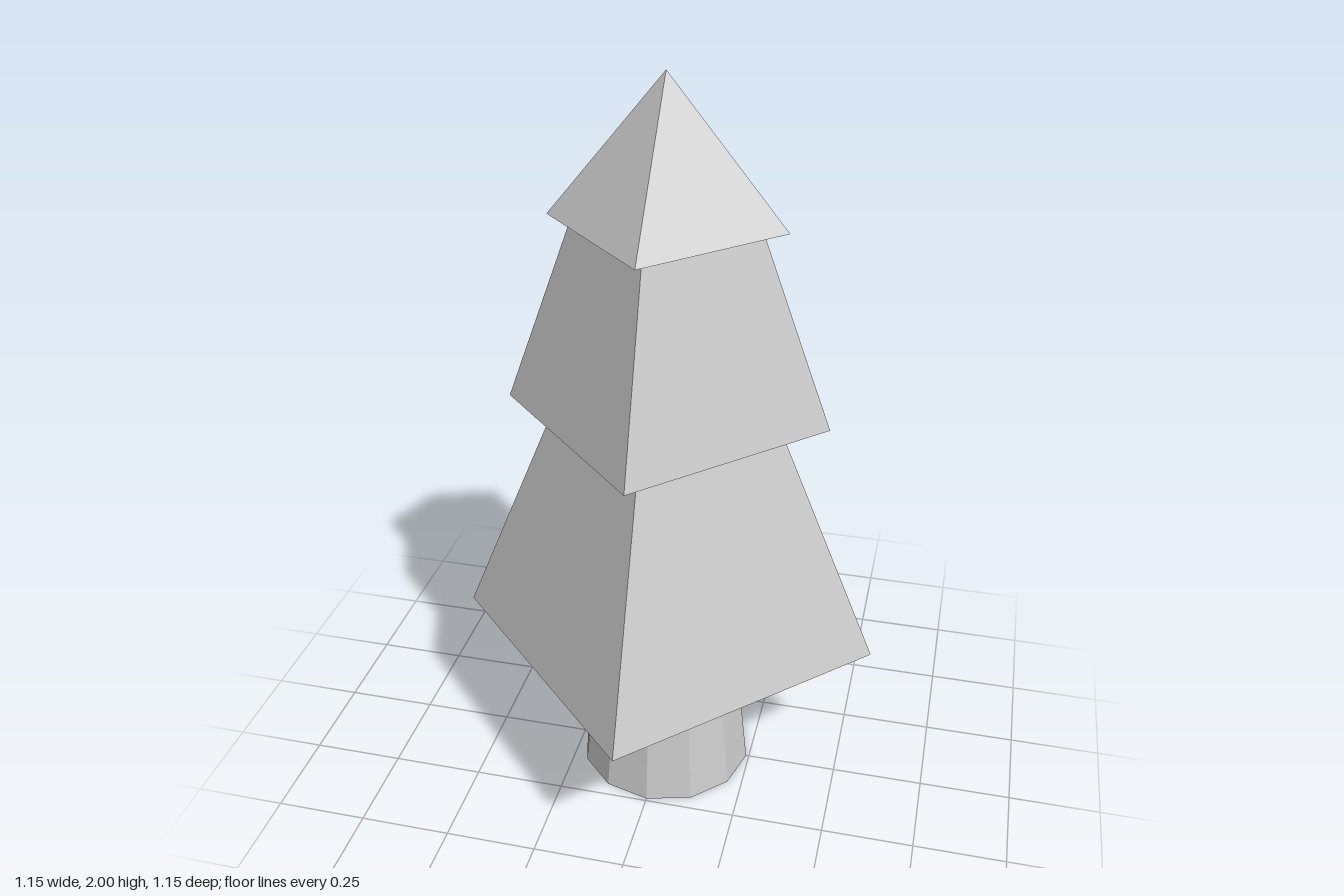
import * as THREE from 'three';

const material = new THREE.MeshStandardMaterial({ color: 0xcccccc, flatShading: true });

// Tapered prism standing between two heights
function taper(name, rBottom, rTop, y0, y1, sides) {
  const geometry = new THREE.CylinderGeometry(rTop, rBottom, y1 - y0, sides);
  geometry.translate(0, (y0 + y1) / 2, 0);
  const mesh = new THREE.Mesh(geometry, material);
  mesh.name = name;
  return mesh;
}

export function createModel() {
  const tree = new THREE.Group();
  tree.name = 'pineTree';

  // Twelve-sided trunk, ending just below the foliage
  tree.add(taper('trunk', 0.242, 0.197, 0, 0.424, 12));

  // Three square tiers with corners on the x and z axes
  tree.add(taper('lowerFoliage', 0.577, 0.295, 0.433, 1.115, 4));
  tree.add(taper('middleFoliage', 0.426, 0.238, 1.115, 1.63, 4));
  tree.add(taper('topFoliage', 0.302, 0, 1.63, 2, 4));

  return tree;
}
